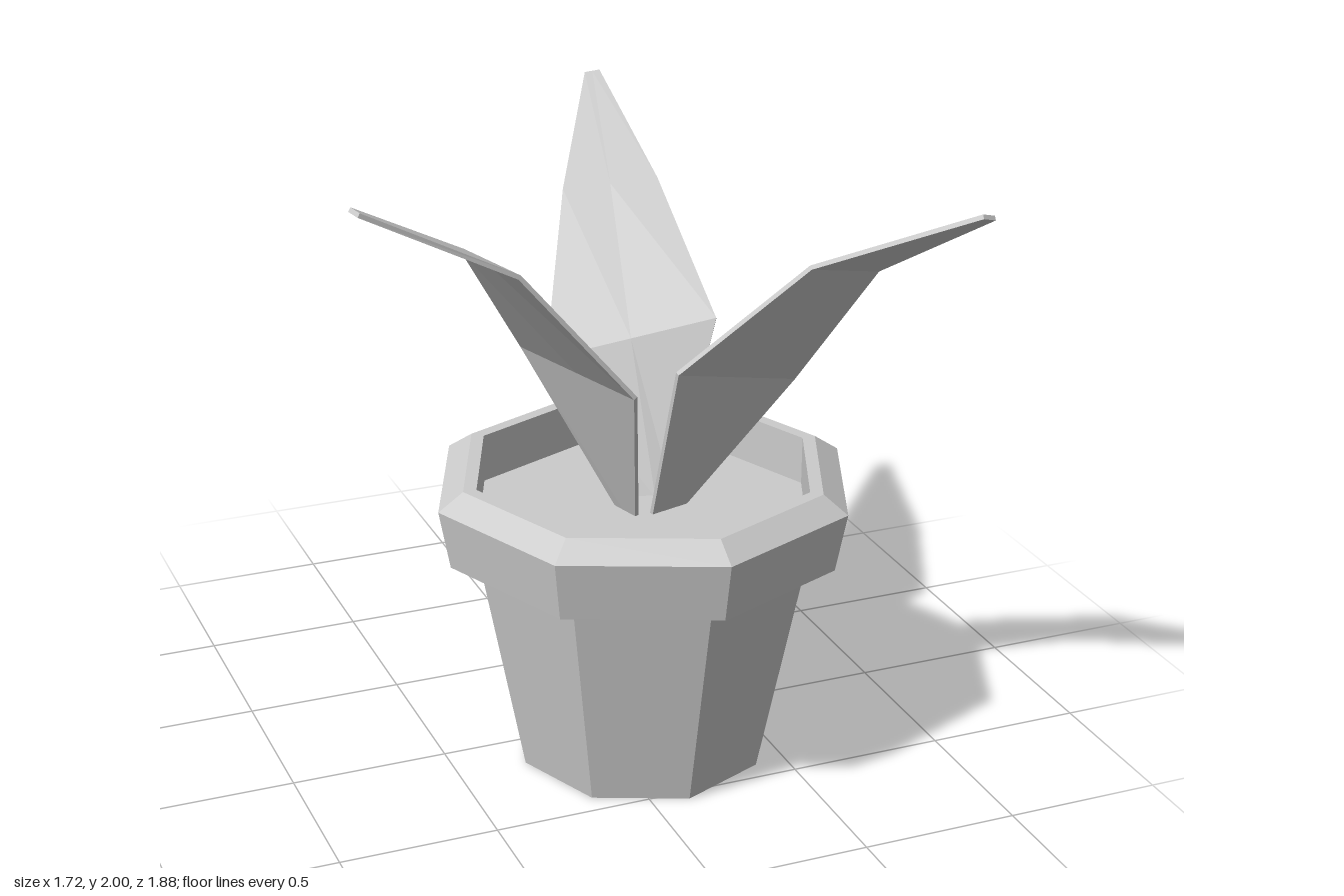
import * as THREE from 'three';

const grey = () => new THREE.MeshStandardMaterial({ color: 0xcccccc, flatShading: true });
const SOIL_Y = 0.82;

// Octagonal turned part, centred on the pot axis
function turned(name, profile) {
  const points = profile.map(([r, y]) => new THREE.Vector2(r, y));
  const mesh = new THREE.Mesh(new THREE.LatheGeometry(points, 8), grey());
  mesh.name = name;
  mesh.position.set(0.118, 0, 0.147);
  return mesh;
}

// Thin leaf lofted through rows of [right edge, left edge], from base to tip
function leaf(name, rows, thickness = 0.014) {
  const edges = rows.map(([r, l]) => [new THREE.Vector3(...r), new THREE.Vector3(...l)]);
  const mids = edges.map(([r, l]) => r.clone().add(l).multiplyScalar(0.5));
  const n = 6;
  const positions = [];
  edges.forEach(([r, l], i) => {
    const along = mids[Math.min(i + 1, mids.length - 1)].clone().sub(mids[Math.max(i - 1, 0)]);
    const up = r.clone().sub(l).cross(along).normalize().multiplyScalar(thickness / 2);
    for (const p of [r, mids[i], l]) positions.push(...p.clone().add(up).toArray());
    for (const p of [l, mids[i], r]) positions.push(...p.clone().sub(up).toArray());
  });

  const index = [];
  for (let i = 0; i < rows.length - 1; i++) {
    for (let k = 0; k < n; k++) {
      const a = i * n + k, b = i * n + (k + 1) % n;
      index.push(a, a + n, b + n, a, b + n, b);
    }
  }
  // End caps
  const last = (rows.length - 1) * n;
  for (let k = 1; k < n - 1; k++) {
    index.push(0, k, k + 1, last, last + k + 1, last + k);
  }

  const geometry = new THREE.BufferGeometry();
  geometry.setAttribute('position', new THREE.Float32BufferAttribute(positions, 3));
  geometry.setIndex(index);
  geometry.computeVertexNormals();
  const mesh = new THREE.Mesh(geometry, grey());
  mesh.name = name;
  return mesh;
}

export function createModel() {
  const group = new THREE.Group();
  group.name = 'pottedPlant';

  // Tapered pot with overhanging, chamfered rim
  group.add(turned('pot', [
    [0, 0], [0.396, 0], [0.54, 0.73], [0.632, 0.73], [0.668, 0.92],
    [0.588, 0.975], [0.545, 0.975], [0.545, SOIL_Y],
  ]));
  group.add(turned('soil', [[0.545, SOIL_Y], [0, SOIL_Y]]));

  // Three bent leaves: base, widest row, bend, tip
  group.add(leaf('rightLeaf', [
    [[0.06, 0.81, 0.09], [0.085, 0.81, 0.18]],
    [[-0.195, 1.33, -0.075], [-0.03, 1.325, 0.44]],
    [[-0.45, 1.735, 0.13], [-0.38, 1.74, 0.42]],
    [[-0.863, 1.99, 0.385], [-0.85, 1.985, 0.43]],
  ]));
  group.add(leaf('backLeaf', [
    [[0.25, 0.81, 0.075], [0.14, 0.81, 0.05]],
    [[0.45, 1.335, -0.06], [-0.06, 1.21, -0.225]],
    [[0.4, 1.69, -0.425], [0.11, 1.66, -0.515]],
    [[0.4, 1.915, -0.93], [0.35, 1.91, -0.935]],
  ]));
  group.add(leaf('frontLeaf', [
    [[0.13, 0.81, 0.185], [0.25, 0.81, 0.152]],
    [[0.13, 1.355, 0.375], [0.61, 1.2, 0.178]],
    [[0.455, 1.715, 0.583], [0.735, 1.635, 0.468]],
    [[0.81, 1.935, 0.935], [0.858, 1.92, 0.918]],
  ]));

  return group;
}
